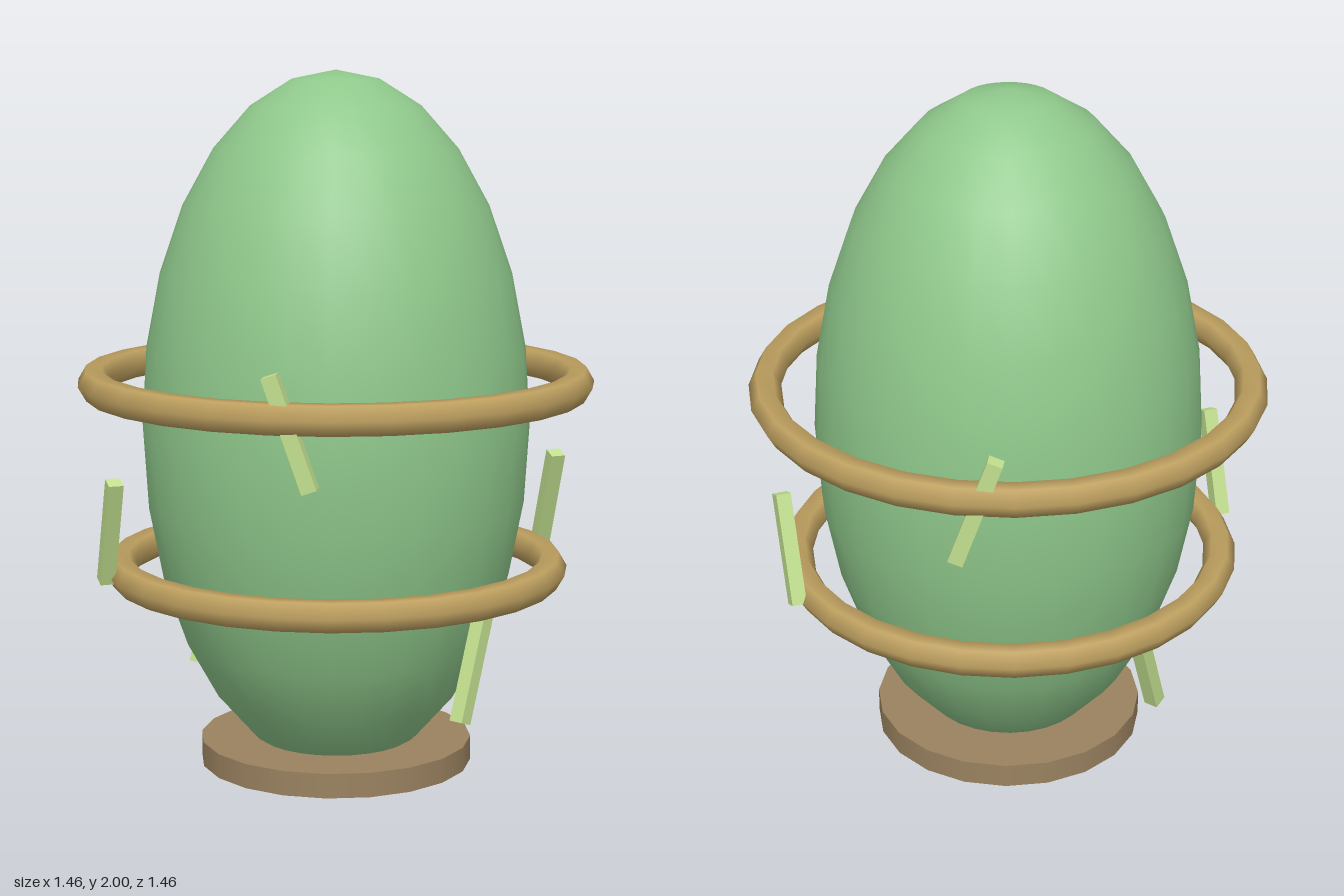
import * as THREE from 'three';

export function createModel() {
  const mat = (name, color) => {
    const m = new THREE.MeshStandardMaterial({ color });
    m.name = name;
    return m;
  };
  const green = mat('leaf green', 0x8fc88b);
  const lime = mat('pale lime', 0xc2e08f);
  const tan = mat('golden tan', 0xbd9f5f);
  const brown = mat('dull brown', 0x9a8260);

  const model = new THREE.Group();
  model.name = 'ringedPod';
  const add = (parent, name, geometry, material) => {
    const mesh = new THREE.Mesh(geometry, material);
    mesh.name = name;
    parent.add(mesh);
    return mesh;
  };

  // Tall smooth pod body
  const body = add(model, 'podBody', new THREE.SphereGeometry(1, 28, 14), green);
  body.scale.set(0.55, 0.998, 0.55);
  body.position.y = 1.002;

  // Flat disc foot
  add(model, 'baseDisc', new THREE.CylinderGeometry(0.39, 0.39, 0.07, 20), brown).position.y = 0.057;

  // Two floating hoops with a six-sided section
  for (const [name, radius, y] of [['lowerRing', 0.615, 0.595], ['upperRing', 0.685, 1.13]]) {
    const ring = add(model, name, new THREE.TorusGeometry(radius, 0.046, 6, 28), tan);
    ring.rotation.x = Math.PI / 2;
    ring.position.y = y;
  }

  // Six leaning slats: opposite pairs at three heights, lean alternating around the pod
  const slat = new THREE.BoxGeometry(0.042, 0.318, 0.042);
  const levels = [[0.49, 0.378], [0.685, 1.092], [0.665, 0.737]]; // radius, height
  for (let i = 0; i < 6; i++) {
    const [radius, y] = levels[i % 3];
    const holder = new THREE.Group();
    holder.name = 'slatHolder' + (i + 1);
    holder.rotation.y = -i * Math.PI / 3;
    const mesh = add(holder, 'slat' + (i + 1), slat, lime);
    mesh.position.set(radius, y, 0);
    mesh.rotation.x = i % 2 ? 0.34 : -0.34;
    model.add(holder);
  }
  return model;
}
